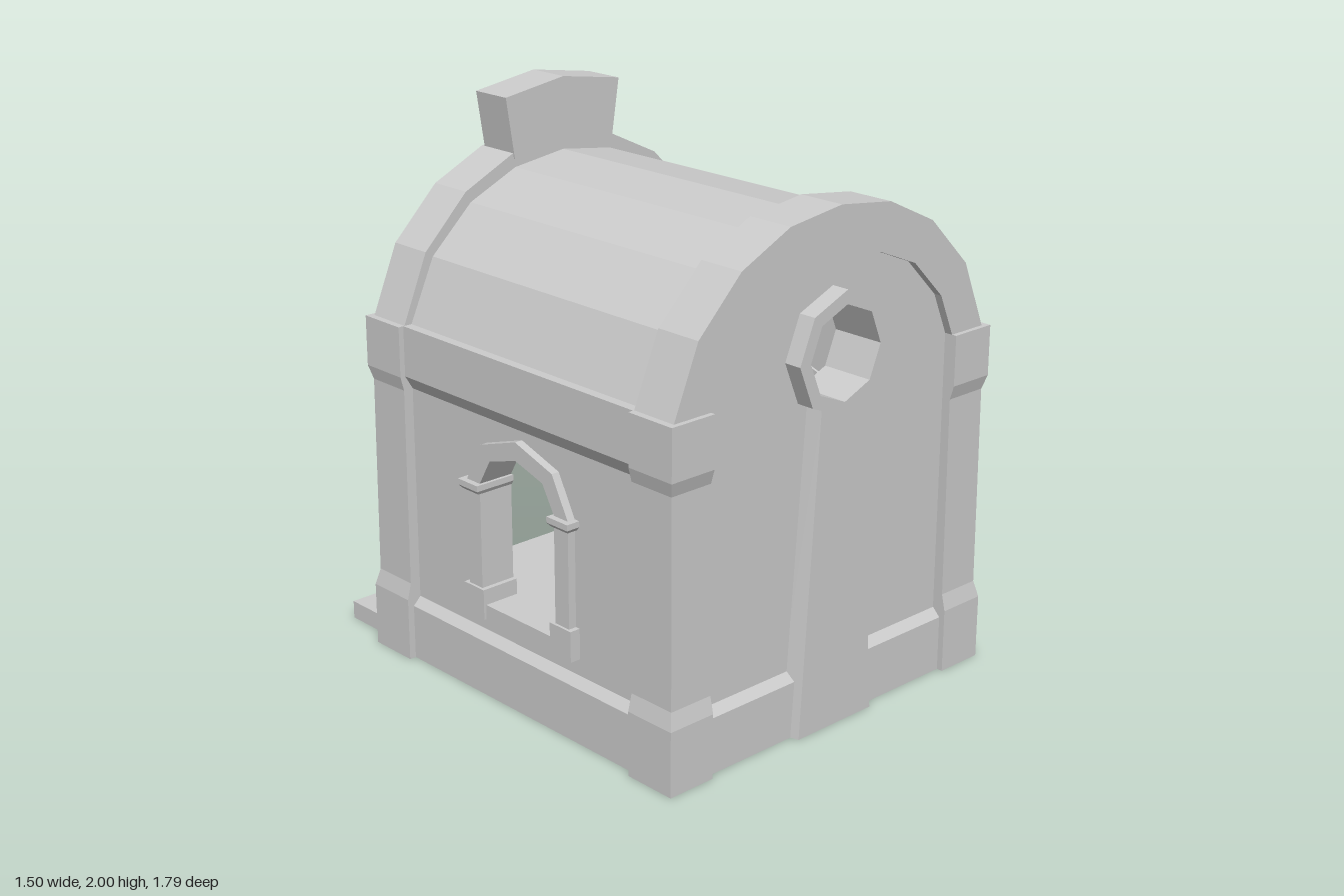
import * as THREE from 'three';

const material = new THREE.MeshStandardMaterial({ color: 0xcccccc, flatShading: true, side: THREE.DoubleSide });

function add(parent, name, geometry) {
  const mesh = new THREE.Mesh(geometry, material);
  mesh.name = name;
  parent.add(mesh);
  return mesh;
}

// Joins four-cornered level loops, each counterclockwise from above, bottom to top.
function loft(loops) {
  const pos = [];
  const quad = (a, b, c, d) => pos.push(...a, ...b, ...c, ...a, ...c, ...d);
  for (let k = 0; k + 1 < loops.length; k++) {
    for (let i = 0; i < 4; i++) {
      const j = (i + 1) % 4;
      quad(loops[k][i], loops[k][j], loops[k + 1][j], loops[k + 1][i]);
    }
  }
  const [b, t] = [loops[0], loops[loops.length - 1]];
  quad(b[3], b[2], b[1], b[0]);
  quad(t[0], t[1], t[2], t[3]);
  const g = new THREE.BufferGeometry();
  g.setAttribute('position', new THREE.Float32BufferAttribute(pos, 3));
  g.computeVertexNormals();
  return g;
}

// Stack of rectangles; each level is [y, xa, xb, za, zb].
function stack(levels) {
  return loft(levels.map(([y, xa, xb, za, zb]) => {
    const x0 = Math.min(xa, xb), x1 = Math.max(xa, xb);
    const z0 = Math.min(za, zb), z1 = Math.max(za, zb);
    return [[x0, y, z1], [x1, y, z1], [x1, y, z0], [x0, y, z0]];
  }));
}

const block = (x0, x1, y0, y1, z0, z1) => stack([[y0, x0, x1, z0, z1], [y1, x0, x1, z0, z1]]);

// Flat outline, with optional holes, pushed from z0 to z1.
function slab(points, holes, z0, z1) {
  const vec = (list) => list.map(([x, y]) => new THREE.Vector2(x, y));
  const shape = new THREE.Shape(vec(points));
  for (const h of holes) shape.holes.push(new THREE.Path(vec(h)));
  return new THREE.ExtrudeGeometry(shape, { depth: z1 - z0, bevelEnabled: false }).translate(0, 0, z0);
}

// Half ellipse from right to left.
const arc = (rx, ry, y, n) => Array.from({ length: n + 1 }, (_, i) => {
  const a = Math.PI * i / n;
  return [rx * Math.cos(a), y + ry * Math.sin(a)];
});

const octagon = (r, y) => Array.from({ length: 8 }, (_, i) => {
  const a = Math.PI * i / 4;
  return [r * Math.cos(a), y + r * Math.sin(a)];
});

// Mirrors the right half of an arch, listed from springing to crown.
const fullArch = (half) => [...half, ...half.slice(0, -1).reverse().map(([x, y]) => [-x, y])];

const OUTER = fullArch([[0.72, 1.24], [0.62, 1.48], [0.44, 1.66], [0.23, 1.76], [0, 1.79]]);
const INNER = fullArch([[0.565, 1.24], [0.5, 1.39], [0.36, 1.53], [0.19, 1.6], [0, 1.63]]);
const ROOF = fullArch([[0.69, 1.24], [0.59, 1.46], [0.42, 1.62], [0.22, 1.71], [0, 1.74]]);
const END_WALL = [[-0.6, 0], [0.6, 0], ...INNER.map(([x, y]) => [x * 1.04, y + 0.02])];

// Arched surround with plinths, posts and capitals, facing +z.
function portal(o) {
  const g = new THREE.Group();
  for (const s of [-1, 1]) {
    const a = s * o.w, b = s * (o.w + o.t);
    add(g, 'post', block(a, b, o.y0, o.ys, o.back, o.front));
    add(g, 'plinth', block(a - s * 0.018, b + s * 0.018, o.y0, o.yb, o.back, o.front + 0.01));
    const c0 = a - s * 0.012, c1 = b + s * 0.022;
    const mid = o.yc + (o.ys - o.yc) * 0.4;
    add(g, 'capital', stack([
      [o.yc, a - s * 0.004, b + s * 0.01, o.back, o.front + 0.01],
      [mid, c0, c1, o.back, o.front + 0.022],
      [o.ys, c0, c1, o.back, o.front + 0.022],
    ]));
  }
  const outer = arc(o.w + o.t, o.ryo, o.ys, o.n);
  const inner = arc(o.w, o.ryi, o.ys, o.n);
  add(g, 'archSurround', slab([...outer, ...inner.reverse()], [], o.back, o.front));
  return g;
}

// Wall opening hidden behind the portal surround.
const opening = (o) => [[-o.w - 0.02, o.y0 + 0.01], [o.w + 0.02, o.y0 + 0.01], ...arc(o.w + 0.02, o.ryi + 0.02, o.ys, o.n)];

function sideWall() {
  const g = new THREE.Group();
  const win = { w: 0.19, t: 0.068, y0: 0.29, yb: 0.4, yc: 0.745, ys: 0.78, ryi: 0.135, ryo: 0.2, n: 4, back: 0.59, front: 0.725 };
  const L = 0.61;
  add(g, 'sidePanel', slab([[-L, 0], [L, 0], [L, 1.24], [-L, 1.24]], [opening(win)], 0.6, 0.695));
  add(g, 'sideBase', stack([[0, -L, L, 0.6, 0.725], [0.2, -L, L, 0.6, 0.725], [0.23, -L, L, 0.6, 0.695]]));
  add(g, 'sideBand', stack([[1.01, -L, L, 0.6, 0.695], [1.06, -L, L, 0.6, 0.725], [1.24, -L, L, 0.6, 0.725]]));
  const frame = portal(win);
  frame.name = 'window';
  add(frame, 'windowSill', block(-0.2, 0.2, 0.29, 0.343, 0.59, 0.725));
  g.add(frame);
  return g;
}

// Corner pillars and arch shared by both ends; front is the outward face.
function endFrame(back, front) {
  const g = new THREE.Group();
  const profile = [[0, 0.75, 0.022], [0.23, 0.75, 0.022], [0.29, 0.735, 0.008], [1.01, 0.732, 0.003], [1.06, 0.745, 0.018], [1.24, 0.745, 0.018]];
  for (const s of [-1, 1]) {
    add(g, 'cornerPillar', stack(profile.map(([y, x, dz]) => [y, s * 0.565, s * x, back, front + dz])));
  }
  add(g, 'gableArch', slab([...OUTER, ...[...INNER].reverse()], [], back, front));
  return g;
}

function frontEnd() {
  const g = endFrame(0.685, 0.86);
  add(g, 'frontWall', slab(END_WALL, [octagon(0.17, 1.31)], 0.7, 0.83));
  add(g, 'frontBase', stack([[0, -0.57, 0.57, 0.7, 0.86], [0.2, -0.57, 0.57, 0.7, 0.86], [0.23, -0.57, 0.57, 0.7, 0.83]]));
  add(g, 'roundWindowRing', slab(octagon(0.212, 1.31), [octagon(0.163, 1.31)], 0.7, 0.895));
  // Tapering buttress under the round window
  const level = (y, xb, xf, zf) => [[-xf, y, zf], [xf, y, zf], [xb, y, 0.8], [-xb, y, 0.8]];
  add(g, 'buttress', loft([level(0, 0.2, 0.175, 0.89), level(1.145, 0.115, 0.097, 0.885)]));
  return g;
}

function backEnd() {
  const g = endFrame(0.47, 0.64);
  const door = { w: 0.345, t: 0.08, y0: 0.07, yb: 0.28, yc: 0.655, ys: 0.715, ryi: 0.29, ryo: 0.365, n: 8, back: 0.49, front: 0.63 };
  add(g, 'backWall', slab(END_WALL, [opening(door)], 0.5, 0.61));
  const frame = portal(door);
  frame.name = 'doorway';
  g.add(frame);
  // Blind round ornament with four tabs
  add(g, 'ornamentRing', slab(octagon(0.2, 1.32), [octagon(0.16, 1.32)], 0.6, 0.645));
  for (let i = 0; i < 4; i++) {
    const tab = add(g, 'ornamentTab', new THREE.BoxGeometry(0.08, 0.075, 0.055).translate(0, 0.2, 0));
    tab.position.set(0, 1.32, 0.628);
    tab.rotation.z = i * Math.PI / 2;
  }
  add(g, 'keystone', slab([[-0.225, 1.74], [0, 1.77], [0.225, 1.74], [0.26, 1.96], [0, 2], [-0.26, 1.96]], [], 0.465, 0.627));
  add(g, 'upperStep', block(-0.69, 0.69, 0, 0.1, 0.6, 0.712));
  add(g, 'lowerStep', block(-0.69, 0.69, 0, 0.066, 0.6, 0.892));
  return g;
}

export function createModel() {
  const model = new THREE.Group();
  model.name = 'vaultedHouse';

  for (const s of [-1, 1]) {
    const side = sideWall();
    side.name = s > 0 ? 'leftWall' : 'rightWall';
    side.rotation.y = s * Math.PI / 2;
    side.position.z = 0.115;
    model.add(side);
  }

  const front = frontEnd();
  front.name = 'frontEnd';
  const back = backEnd();
  back.name = 'backEnd';
  back.rotation.y = Math.PI;
  model.add(front, back);

  // Barrel roof with a hollow underside
  const ceiling = ROOF.map(([x, y]) => [x * 0.87, 1.24 + (y - 1.24) * 0.84]).reverse();
  add(model, 'barrelRoof', slab([...ROOF, ...ceiling], [], -0.5, 0.72));
  add(model, 'floor', block(-0.62, 0.62, 0.07, 0.1, -0.62, 0.72));
  return model;
}
